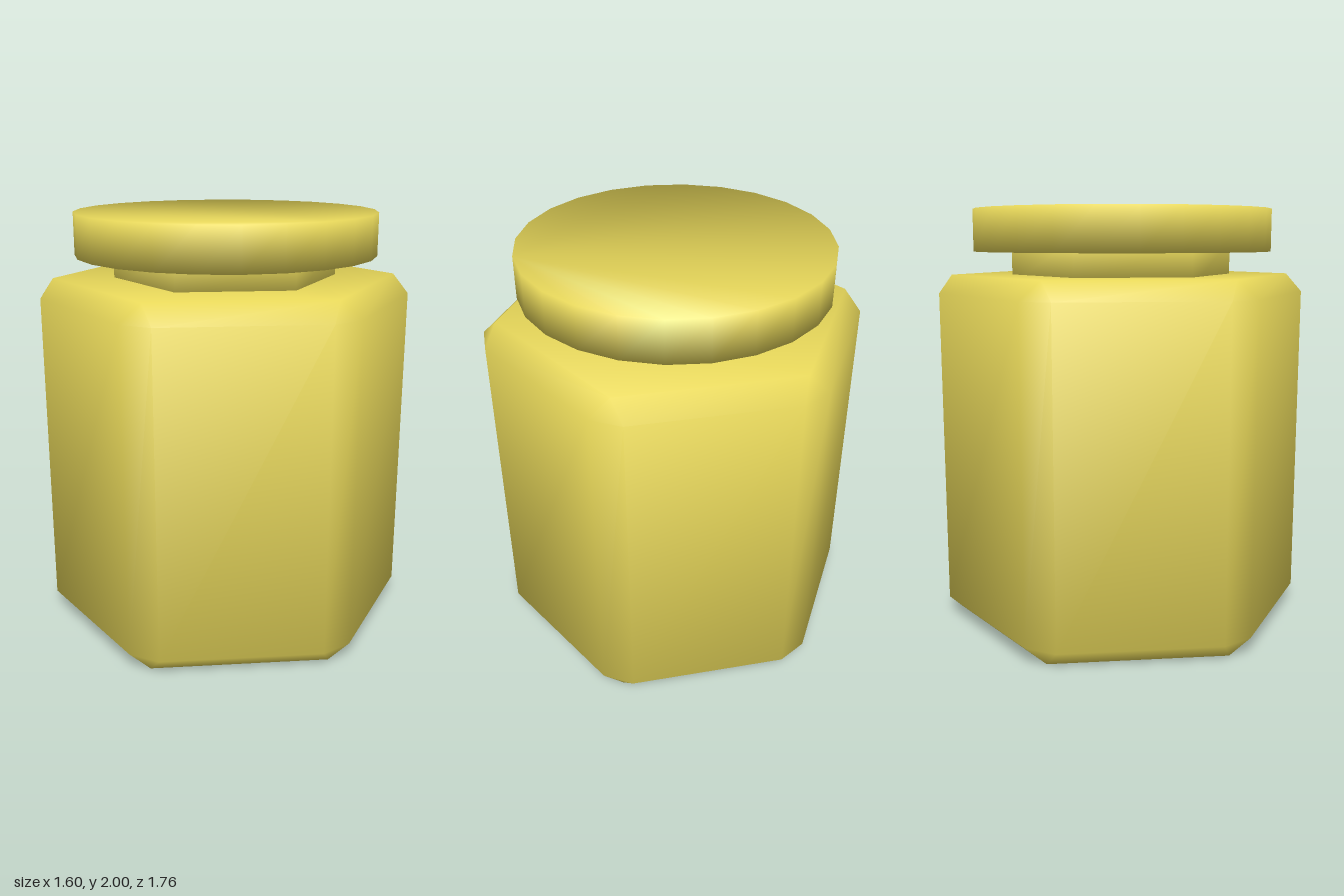
import * as THREE from 'three';

const yellow = new THREE.MeshStandardMaterial({ color: 0xe8d85a });

// Ring of points around y; spread splits every corner into a pair (a chamfer)
function ring(sides, radius, y, spread = null) {
  const points = [];
  for (let i = 0; i < sides; i++) {
    for (const offset of spread === null ? [0] : [-spread, spread]) {
      const a = (i / sides) * Math.PI * 2 + offset;
      points.push(new THREE.Vector3(Math.sin(a) * radius, y, Math.cos(a) * radius));
    }
  }
  return points;
}

// Closed solid through stacked rings, with angle-weighted smooth normals
function stack(rings) {
  const n = rings[0].length;
  const faces = [[...rings[0]].reverse(), rings[rings.length - 1]];
  for (let r = 0; r + 1 < rings.length; r++) {
    for (let i = 0; i < n; i++) {
      const j = (i + 1) % n;
      faces.push([rings[r][i], rings[r][j], rings[r + 1][j], rings[r + 1][i]]);
    }
  }
  const key = (p) => p.toArray().map((v) => Math.round(v * 1e4)).join();
  const normals = new Map();
  const positions = [], corners = [];
  for (const face of faces) {
    // Coinciding corners collapse, so quads may become triangles
    const f = face.filter((p, i) => key(p) !== key(face[(i + 1) % face.length]));
    if (f.length < 3) continue;
    const normal = new THREE.Vector3();
    for (let i = 1; i + 1 < f.length; i++) {
      const u = f[i].clone().sub(f[0]);
      normal.add(u.cross(f[i + 1].clone().sub(f[0])));
      for (const p of [f[0], f[i], f[i + 1]]) {
        positions.push(p.x, p.y, p.z);
        corners.push(key(p));
      }
    }
    normal.normalize();
    f.forEach((p, i) => {
      const u = f[(i + 1) % f.length].clone().sub(p);
      const v = f[(i + f.length - 1) % f.length].clone().sub(p);
      if (!normals.has(key(p))) normals.set(key(p), new THREE.Vector3());
      normals.get(key(p)).addScaledVector(normal, u.angleTo(v));
    });
  }
  const geometry = new THREE.BufferGeometry();
  geometry.setAttribute('position', new THREE.Float32BufferAttribute(positions, 3));
  geometry.setAttribute('normal', new THREE.Float32BufferAttribute(
    corners.flatMap((k) => normals.get(k).clone().normalize().toArray()), 3));
  return geometry;
}

export function createModel() {
  const group = new THREE.Group();
  group.name = 'jar';
  const add = (name, rings) => {
    const mesh = new THREE.Mesh(stack(rings), yellow);
    mesh.name = name;
    group.add(mesh);
  };

  // Hexagonal body with every edge chamfered
  add('body', [
    ring(6, 0.825, 0, 0),
    ring(6, 0.885, 0.085, 0.087),
    ring(6, 0.885, 1.605, 0.087),
    ring(6, 0.825, 1.69, 0),
  ]);
  // Hexagonal neck, sunk into body and lid
  add('neck', [ring(6, 0.535, 1.65), ring(6, 0.535, 1.85)]);
  // Round lid
  add('lid', [ring(24, 0.718, 1.8), ring(24, 0.718, 2)]);
  return group;
}
